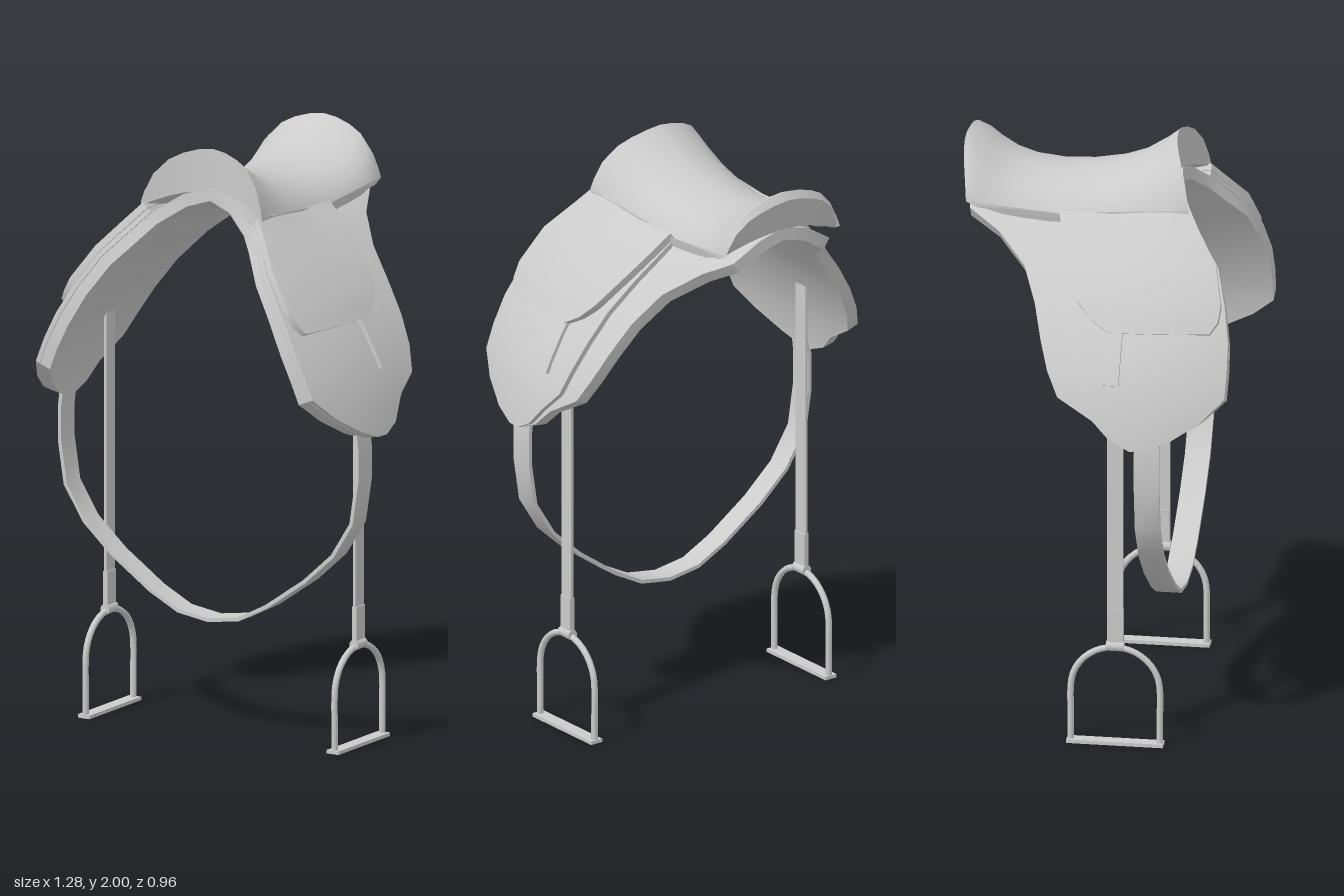
import * as THREE from 'three';
import { toCreasedNormals } from 'three/addons/utils/BufferGeometryUtils.js';

const grey = new THREE.MeshStandardMaterial({ color: 0xcccccc });
const clamp = (v) => Math.min(1, Math.max(0, v));

function addMesh(parent, geometry, name) {
  const mesh = new THREE.Mesh(geometry, grey);
  mesh.name = name;
  parent.add(mesh);
  return mesh;
}

// Skins a row of closed loops (equal point counts) and caps both ends
function loft(loops, crease = 0.5) {
  const n = loops[0].length, index = [];
  const points = loops.flat();
  for (let i = 0; i < loops.length - 1; i++) {
    for (let j = 0; j < n; j++) {
      const a = i * n + j, b = i * n + (j + 1) % n;
      index.push(a, a + n, b, b, a + n, b + n);
    }
  }
  for (const [row, flip] of [[0, false], [loops.length - 1, true]]) {
    const centre = points.length;
    const sum = new THREE.Vector3();
    loops[row].forEach((p) => sum.add(p));
    points.push(sum.divideScalar(n));
    for (let j = 0; j < n; j++) {
      const a = row * n + j, b = row * n + (j + 1) % n;
      index.push(centre, flip ? b : a, flip ? a : b);
    }
  }
  const g = new THREE.BufferGeometry().setFromPoints(points);
  g.setIndex(index);
  return toCreasedNormals(g, crease);
}

// Shapes the arched sheet: narrower toward the front, raised at pommel and cantle
function warp(x, y, z) {
  const f = Math.max(0, (z - 0.1) / 0.37);
  const middle = clamp(1 - Math.abs(x) / 0.45);
  const lift = 0.05 * clamp((z - 0.05) / 0.2) + 0.03 * clamp((-z - 0.3) / 0.15);
  return new THREE.Vector3(x * (1 - 0.1 * f * f), y + lift * middle, z);
}

// Thick sheet following rows of [x, y, front z, back z], between two normal offsets
function slab(rows, inner, outer, place = warp, cols = 10) {
  const loops = rows.map(([x, y, zf, zb], i) => {
    const p = rows[Math.max(0, i - 1)], q = rows[Math.min(rows.length - 1, i + 1)];
    const len = Math.hypot(q[0] - p[0], q[1] - p[1]);
    const nx = -(q[1] - p[1]) / len, ny = (q[0] - p[0]) / len;
    const line = (o) => Array.from({ length: cols + 1 }, (_, k) =>
      place(x + nx * o, y + ny * o, zf + (zb - zf) * k / cols));
    return [...line(outer), ...line(inner).reverse()];
  });
  return loft(loops);
}

const mirrorRows = (rows) => rows.map(([x, ...rest]) => [-x, ...rest]).reverse();

// Half outline of the lining panel, from spine to lower tip
const panelRows = [
  [0, 1.82, 0.25, -0.45], [0.1, 1.8, 0.265, -0.45], [0.2, 1.745, 0.31, -0.435],
  [0.25, 1.7, 0.345, -0.33], [0.34, 1.62, 0.42, -0.23], [0.43, 1.52, 0.455, -0.18],
  [0.5, 1.42, 0.475, -0.15], [0.55, 1.33, 0.478, -0.12], [0.585, 1.25, 0.475, -0.08],
  [0.605, 1.18, 0.4, 0.04], [0.62, 1.12, 0.3, 0.1], [0.625, 1.09, 0.22, 0.17],
];
// Rear edge of the outer flap, one value per panel row from the third on
const flapBack = [-0.13, -0.12, -0.1, -0.07, -0.05, -0.03, -0.01, 0.06, 0.11, 0.17];
const flapRows = panelRows.slice(2).map(([x, y, zf], i) => [x, y, zf, flapBack[i]]);
const skirtRows = [
  [0.2, 1.745, 0.31, -0.13], [0.25, 1.7, 0.345, -0.115], [0.34, 1.62, 0.415, -0.085],
  [0.43, 1.52, 0.445, -0.03], [0.455, 1.475, 0.44, 0.02], [0.475, 1.44, 0.415, 0.08],
];
const strapRows = [
  [0.455, 1.485, 0.127, 0.073], [0.5, 1.42, 0.127, 0.073],
  [0.55, 1.33, 0.127, 0.073], [0.567, 1.292, 0.127, 0.073],
];

// Seat: side profiles of [z, top y, bottom y] swept across the width
function seatGeometry() {
  const stations = [
    [0.235, 2.0, 1.86], [0.19, 1.965, 1.845], [0.12, 1.92, 1.825], [0.04, 1.89, 1.81],
    [-0.06, 1.872, 1.805], [-0.16, 1.867, 1.805], [-0.26, 1.877, 1.815], [-0.33, 1.9, 1.825],
    [-0.39, 1.935, 1.84], [-0.435, 1.97, 1.845], [-0.463, 1.982, 1.85], [-0.478, 1.955, 1.85],
  ];
  const widths = [-1, -0.96, -0.85, -0.65, -0.45, -0.22, 0, 0.22, 0.45, 0.65, 0.85, 0.96, 1];
  const loops = widths.map((u) => {
    const a = Math.abs(u);
    const swell = 1 - 0.3 * a ** 2 - 0.65 * a ** 8;
    const point = (z, y) => new THREE.Vector3(
      u * (0.222 + 0.015 * clamp(Math.abs(z + 0.1) / 0.35)), y,
      z + 0.07 * u * u * clamp(z / 0.235) + 0.035 * u * u * clamp((-z - 0.3) / 0.15));
    const base = (b) => b - 0.06 * u * u;
    const top = stations.map(([z, t, b]) => point(z, base(b) + (t - b) * swell - 0.012 * a * (1 - a)));
    const bottom = stations.map(([z, , b]) => point(Math.max(z, -0.45), base(b) - 0.008));
    return [...top, ...bottom.reverse()];
  });
  return loft(loops, 0.6);
}

// Stirrup iron with tread and eye, hanging from a leather
function makeStirrup() {
  const g = new THREE.Group();
  const path = [[-0.15, 0.008], [-0.15, 0.1]];
  for (let i = 0; i <= 10; i++) {
    const t = Math.PI * (1 - i / 10);
    path.push([0.15 * Math.cos(t), 0.195 + 0.145 * Math.sin(t)]);
  }
  path.push([0.15, 0.1], [0.15, 0.008]);
  const curve = new THREE.CatmullRomCurve3(path.map(([z, y]) => new THREE.Vector3(0, y, z)));
  addMesh(g, new THREE.TubeGeometry(curve, 36, 0.011, 8), 'stirrupArch');
  addMesh(g, new THREE.BoxGeometry(0.046, 0.012, 0.325), 'stirrupTread').position.y = 0.006;
  const eye = addMesh(g, new THREE.CylinderGeometry(0.018, 0.018, 0.06, 10), 'stirrupEye');
  eye.rotation.x = Math.PI / 2;
  eye.position.y = 0.345;
  addMesh(g, new THREE.BoxGeometry(0.01, 1.02, 0.054), 'stirrupLeather').position.y = 0.86;
  addMesh(g, new THREE.BoxGeometry(0.018, 0.13, 0.054), 'leatherFold').position.y = 0.41;
  return g;
}

export function createModel() {
  const model = new THREE.Group();
  model.name = 'saddle';

  addMesh(model, slab([...mirrorRows(panelRows.slice(1)), ...panelRows], -0.045, 0, warp, 14), 'liningPanel');
  addMesh(model, seatGeometry(), 'seat');

  // Layers and stirrups on each side
  for (const side of [1, -1]) {
    const word = side > 0 ? 'left' : 'right';
    const rows = (r) => (side > 0 ? r : mirrorRows(r));
    addMesh(model, slab(rows(flapRows), 0.002, 0.02), word + 'Flap');
    addMesh(model, slab(rows(skirtRows), 0.022, 0.048), word + 'Skirt');
    addMesh(model, slab(rows(strapRows), 0.018, 0.032, warp, 2), word + 'FlapStrap');
    const stirrup = makeStirrup();
    stirrup.name = word + 'Stirrup';
    stirrup.position.set(side * 0.487, 0, 0.1);
    model.add(stirrup);
  }

  // Girth band hanging below the flaps
  const half = [
    [0.12, 0.408], [0.23, 0.465], [0.38, 0.57], [0.49, 0.67], [0.565, 0.79],
    [0.588, 0.94], [0.588, 1.05], [0.58, 1.12], [0.565, 1.2],
  ].map(([x, y]) => [x, y, 0.263, 0.178]);
  const girth = [...mirrorRows(half), [0, 0.39, 0.263, 0.178], ...half];
  const straight = (x, y, z) => new THREE.Vector3(x, y, z);
  addMesh(model, slab(girth, 0, 0.013, straight, 1), 'girth');

  return model;
}
